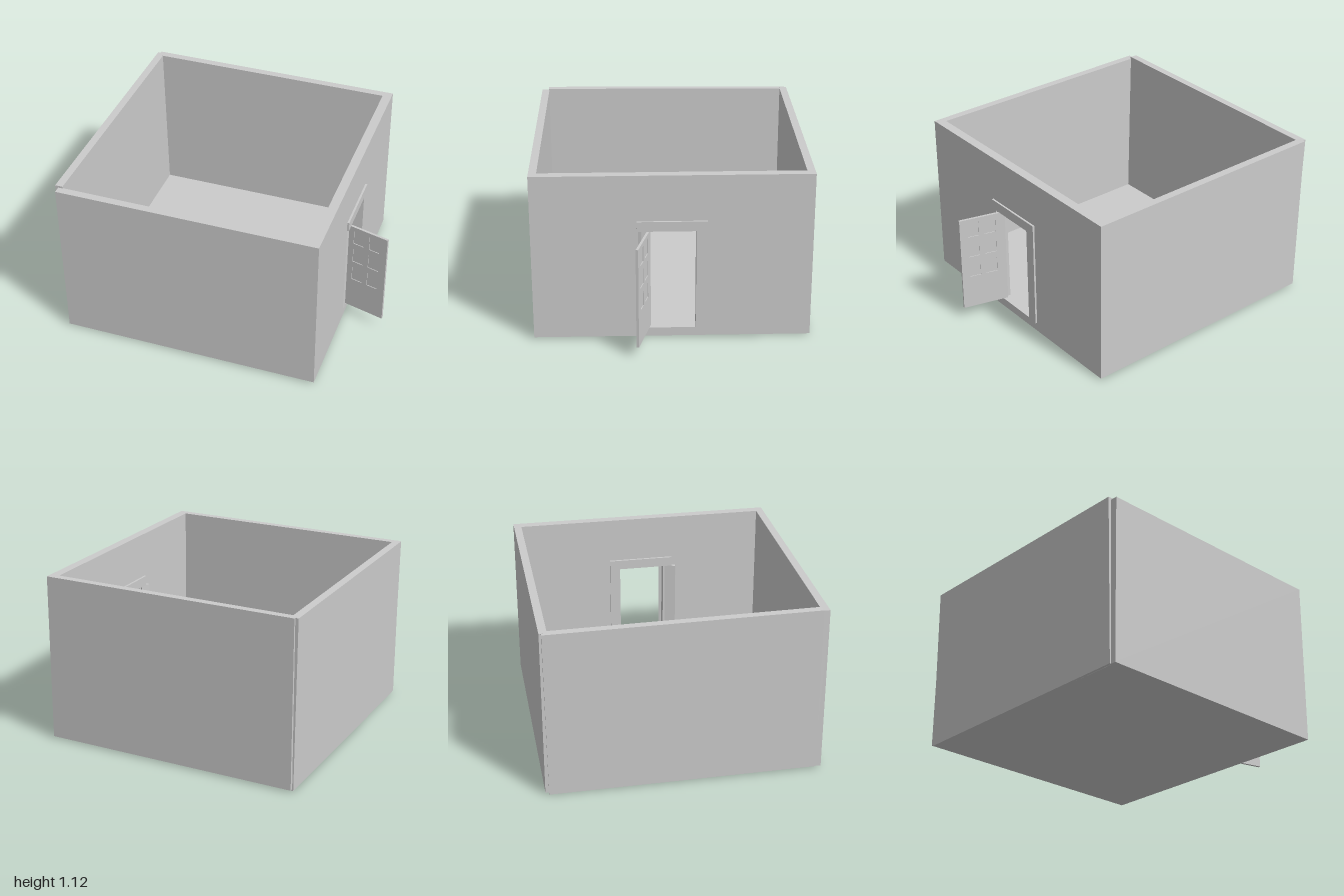
import * as THREE from 'three';

const material = new THREE.MeshStandardMaterial({ color: 0xcccccc, flatShading: true });

function add(parent, name, geometry, x = 0, y = 0, z = 0) {
  const mesh = new THREE.Mesh(geometry, material);
  mesh.name = name;
  mesh.position.set(x, y, z);
  parent.add(mesh);
  return mesh;
}

// box given by its min and max on each axis
function block(parent, name, [x0, x1], [y0, y1], [z0, z1]) {
  return add(parent, name, new THREE.BoxGeometry(x1 - x0, y1 - y0, z1 - z0),
    (x0 + x1) / 2, (y0 + y1) / 2, (z0 + z1) / 2);
}

const rect = (Type, x0, x1, y0, y1) => new Type([
  [x0, y0], [x1, y0], [x1, y1], [x0, y1],
].map(([x, y]) => new THREE.Vector2(x, y)));

// rectangular slab with rectangular holes, extruded along +z
function pierced(outer, holes, depth) {
  const shape = rect(THREE.Shape, ...outer);
  holes.forEach((h) => shape.holes.push(rect(THREE.Path, ...h)));
  return new THREE.ExtrudeGeometry(shape, { depth, bevelEnabled: false });
}

export function createModel() {
  const room = new THREE.Group();
  room.name = 'room';

  // floor and the two full-length walls
  block(room, 'floor', [-0.97, 0.715], [0.012, 0.065], [-0.875, 0.875]);
  block(room, 'frontWall', [-0.98, 0.72], [0.012, 1.112], [0.83, 0.88]);
  block(room, 'backWall', [-0.98, 0.72], [0.012, 1.112], [-0.88, -0.83]);

  // slightly leaning side wall
  const sideWall = add(room, 'leaningWall', new THREE.BoxGeometry(0.05, 1.11, 1.7), -0.969, 0.563, -0.012);
  sideWall.rotation.set(-0.008, 0, 0.012);

  // wall with the doorway, shape x runs along z
  const doorWall = add(room, 'doorWall',
    pierced([-0.831, 0.831, 0.012, 1.112], [[-0.15, 0.16, 0.07, 0.75]], 0.06), 0.72);
  doorWall.rotation.y = -Math.PI / 2;

  // door frame: head, fixed jamb, and a jamb turned along with the door
  const angle = -0.26;
  const frame = new THREE.Group();
  frame.name = 'doorFrame';
  room.add(frame);
  block(frame, 'frameHead', [0.645, 0.733], [0.745, 0.81], [-0.22, 0.22]);
  block(frame, 'fixedJamb', [0.645, 0.733], [0.075, 0.745], [-0.22, -0.15]);
  const jamb = add(frame, 'turnedJamb', new THREE.BoxGeometry(0.075, 0.67, 0.075), 0.68, 0.41, 0.217);
  jamb.rotation.y = angle;

  // open door with six recessed panels
  const door = new THREE.Group();
  door.name = 'door';
  door.position.set(0.725, 0, 0.143);
  door.rotation.y = angle;
  room.add(door);
  const panels = [];
  for (const y of [0.31, 0.46, 0.61]) {
    for (const x of [0.036, 0.15]) panels.push([x, x + 0.076, y, y + 0.103]);
  }
  add(door, 'doorLeaf', pierced([-0.03, 0.279, 0.078, 0.742], panels, 0.016));
  panels.forEach(([x0, x1, y0, y1]) => block(door, 'doorPanel', [x0, x1], [y0, y1], [0.005, 0.011]));

  return room;
}
